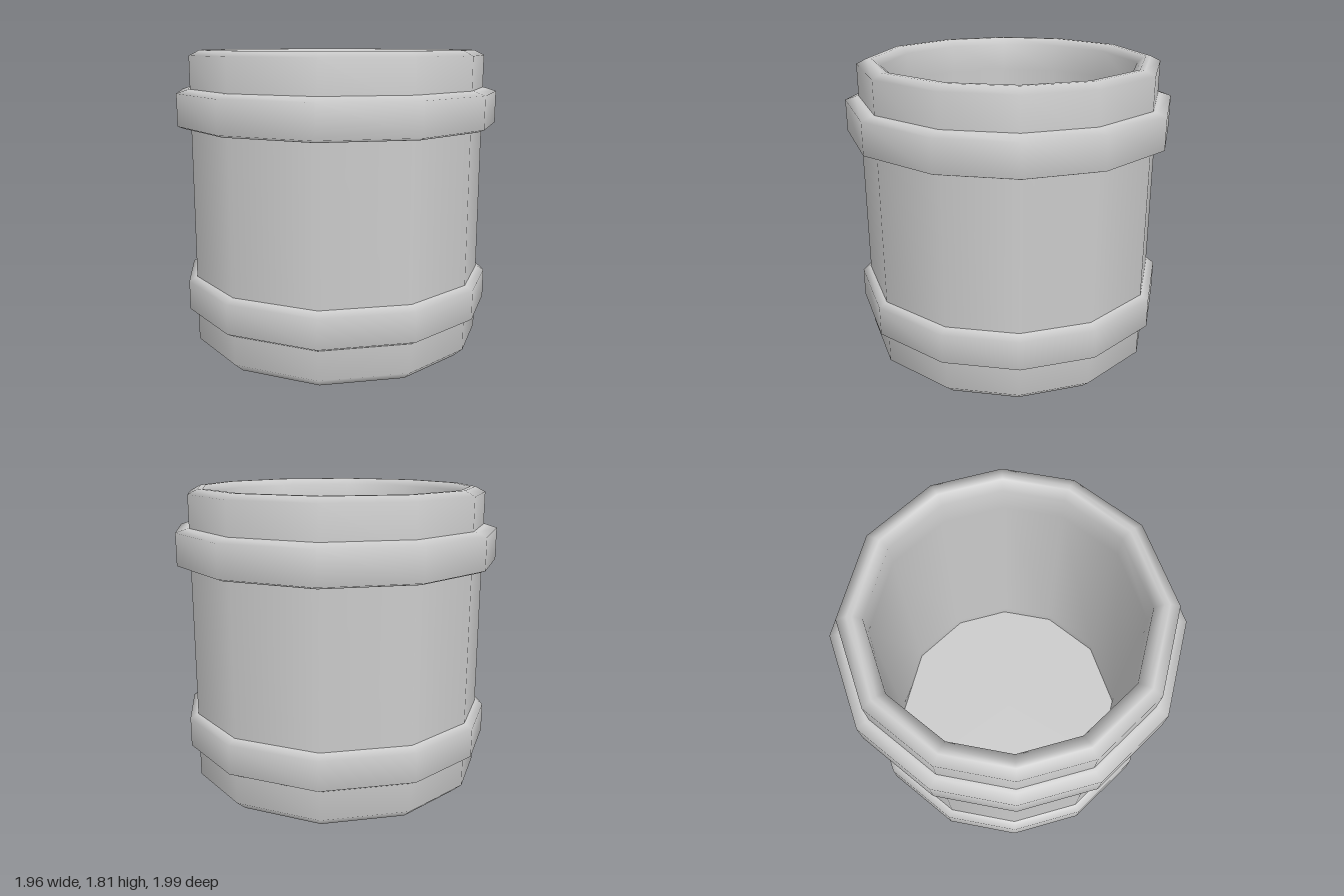
import * as THREE from 'three';

const SIDES = 12;

// Slightly uneven twelve-sided ring: corners slide towards the sides, z a little longer
function warp(geometry) {
  const p = geometry.attributes.position;
  for (let i = 0; i < p.count; i++) {
    const r = Math.hypot(p.getX(i), p.getZ(i));
    const a = Math.atan2(p.getX(i), p.getZ(i));
    const b = a + 0.07 * Math.sin(2 * a);
    p.setX(i, r * Math.sin(b));
    p.setZ(i, r * Math.cos(b) * 1.013);
  }
  return geometry;
}

export function createModel() {
  const group = new THREE.Group();
  const material = new THREE.MeshStandardMaterial({ color: 0xcccccc, side: THREE.DoubleSide });

  const add = (name, geometry) => {
    const mesh = new THREE.Mesh(warp(geometry), material);
    mesh.name = name;
    group.add(mesh);
  };
  // Revolved profile of [radius, height] points
  const lathe = (name, points) =>
    add(name, new THREE.LatheGeometry(points.map(([r, y]) => new THREE.Vector2(r, y)), SIDES));

  // Hollow wall with bevelled rims: up the outside, down the inside
  lathe('wall', [
    [0.79, 0], [0.84, 0], [0.9, 0.055], [0.9, 0.3], [0.9, 1.5], [0.9, 1.78], [0.84, 1.81],
    [0.81, 1.81], [0.76, 1.77], [0.76, 1.6], [0.76, 0.2], [0.76, 0.04], [0.79, 0],
  ]);

  // Raised hoops around the wall
  lathe('lowerHoop', [[0.89, 0.23], [0.905, 0.23], [0.95, 0.255], [0.95, 0.43], [0.905, 0.455], [0.89, 0.46]]);
  lathe('upperHoop', [[0.89, 1.36], [0.94, 1.36], [0.98, 1.375], [0.98, 1.565], [0.92, 1.585], [0.89, 1.59]]);

  // Floor set a little above the bottom rim
  const floor = new THREE.CircleGeometry(0.76, SIDES);
  floor.rotateX(-Math.PI / 2);
  floor.translate(0, 0.13, 0);
  add('floor', floor);

  return group;
}
